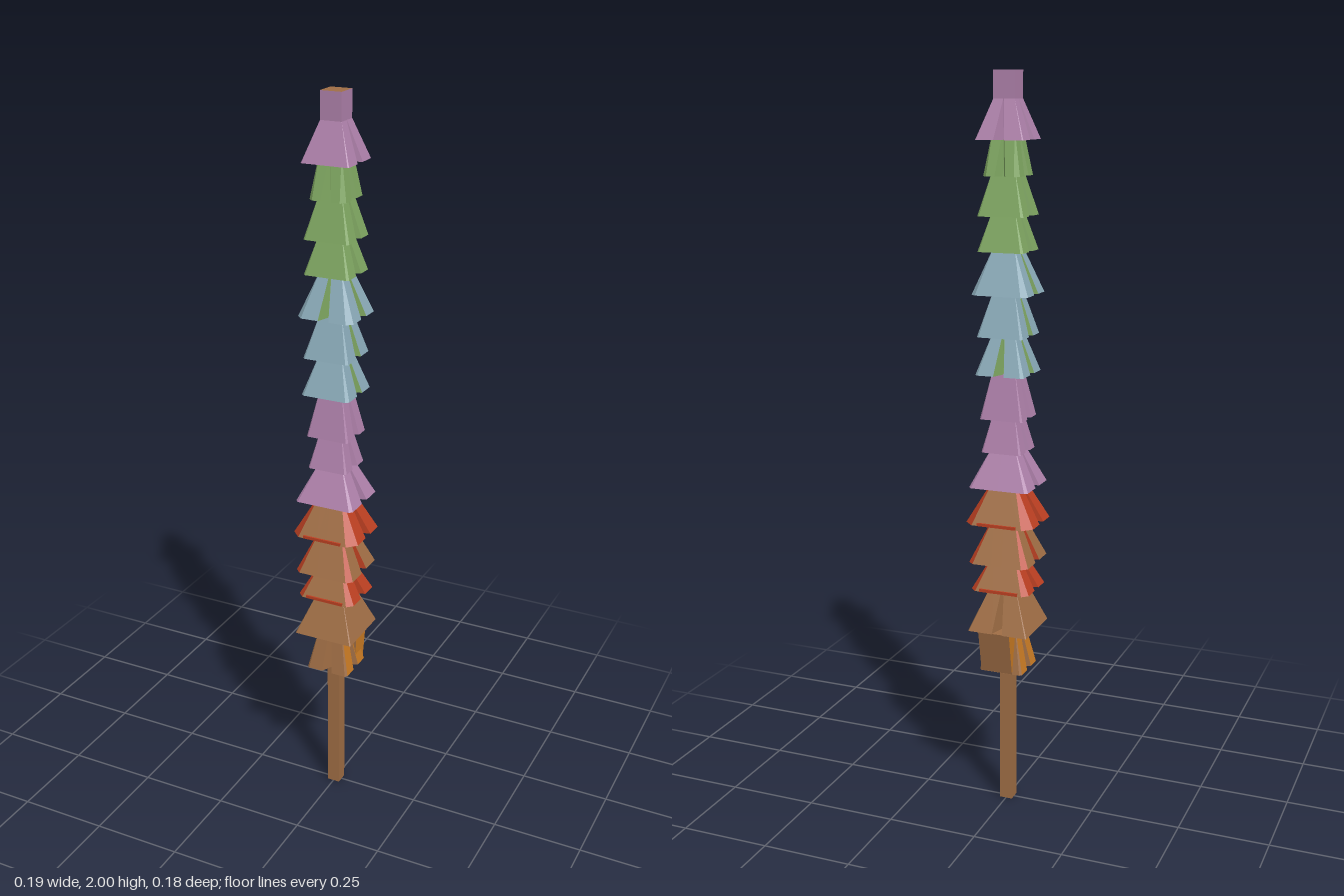
import * as THREE from 'three';

const mat = (name, color) => {
  const m = new THREE.MeshStandardMaterial({ color });
  m.name = name;
  return m;
};

export function createModel() {
  const brown = mat('wood brown', 0xa06e45);
  const purple = mat('purple', 0xb082ac);
  const green = mat('green', 0x80a862);
  const blue = mat('blue', 0x8aaab8);
  const red = mat('red', 0xbd4022);
  const orange = mat('orange', 0xca7b24);
  const model = new THREE.Group();
  model.name = 'tieredPole';

  const box = (name, [w, h, d], [x, y, z], material) => {
    const mesh = new THREE.Mesh(new THREE.BoxGeometry(w, h, d), material);
    mesh.position.set(x, y, z);
    mesh.name = name;
    model.add(mesh);
    return mesh;
  };

  const T = 0.029; // half width at the top of a tier

  // Square core pole and the purple collar with its brown end grain
  box('pole', [0.036, 1.9, 0.036], [0, 0.95, 0], brown);
  box('topCollar', [2 * T, 0.09, 2 * T], [0, 1.955, 0], [purple, purple, brown, purple, purple, purple]);

  // One flared skirt: four flaps, each optionally split by a wedge-shaped slit.
  // notches holds the sides that are split: f, r, b, l.
  // mats: front and back, sides, slits, corners, underside
  function tier(name, top, bottom, w, d, notches, mats, cut) {
    const lower = [], upper = [], slot = [];
    'frbl'.split('').forEach((side, k) => {
      const face = k % 2 === 0;
      const out = face ? d : w;
      const half = (face ? w : d) - cut;
      const split = notches.includes(side);
      const angle = k * Math.PI / 2, c = Math.cos(angle), s = Math.sin(angle);
      const put = (list, u, y, v) => list.push([u * c + v * s, y, -u * s + v * c]);
      const g = 0.015;
      [[-half, out, -T], [-g, out, -0.002], [0, split ? T : out, 0], [g, out, 0.002], [half, out, T]]
        .forEach(([u, v, tu], i) => {
          put(lower, u, bottom, v);
          put(upper, tu, top, T);
          // material slot of the panel that follows this point
          const inner = split && (i === 1 || i === 2);
          slot.push(inner ? 2 : i === 4 ? 3 : face ? 0 : 1);
        });
    });
    const n = lower.length, tris = [[], [], [], [], []];
    for (let i = 0; i < n; i++) {
      const j = (i + 1) % n;
      tris[slot[i]].push(upper[i], lower[i], lower[j], upper[i], lower[j], upper[j]);
      tris[4].push(lower[j], lower[i], [0, bottom + 0.02, 0]);
    }
    const geo = new THREE.BufferGeometry();
    let start = 0;
    tris.forEach((list, m) => {
      geo.addGroup(start, list.length, m);
      start += list.length;
    });
    geo.setAttribute('position', new THREE.Float32BufferAttribute(tris.flat(2), 3));
    geo.computeVertexNormals();
    const mesh = new THREE.Mesh(geo, mats);
    mesh.name = name;
    model.add(mesh);
  }

  const P = [purple, purple, purple, purple, purple];
  const G = [green, green, green, green, green];
  const B = [blue, blue, green, blue, green];
  const R = [brown, red, red, red, red];

  // Skirts from top to bottom: top, bottom, half width, half depth, split sides, colours, corner cut
  const rows = [
    ['topSkirt', 1.93, 1.83, 0.065, 0.065, 'rlb', P, 0.003],
    ['greenSkirt1', 1.86, 1.74, 0.05, 0.058, 'frbl', G, 0.012],
    ['greenSkirt2', 1.76, 1.64, 0.063, 0.061, 'rl', [green, green, green, green, red], 0.006],
    ['greenSkirt3', 1.66, 1.55, 0.063, 0.061, 'rl', G, 0.006],
    ['blueSkirt1', 1.56, 1.44, 0.078, 0.075, 'frl', B, 0.015],
    ['blueSkirt2', 1.45, 1.33, 0.064, 0.066, 'rl', B, 0.006],
    ['blueSkirt3', 1.345, 1.23, 0.068, 0.07, 'rbl', B, 0.008],
    ['purpleSkirt1', 1.25, 1.11, 0.06, 0.056, 'rl', P, 0.005],
    ['purpleSkirt2', 1.13, 1.02, 0.056, 0.056, 'rl', P, 0.005],
    ['purpleSkirt3', 1.04, 0.925, 0.084, 0.079, 'rl', P, 0.008],
    ['redSkirt1', 0.945, 0.825, 0.096, 0.088, 'rl', R, 0.025],
    ['redSkirt2', 0.84, 0.715, 0.085, 0.086, 'rl', [brown, brown, red, red, red], 0.015],
    ['redSkirt3', 0.735, 0.635, 0.083, 0.076, 'rl', R, 0.016],
    ['brownSkirt', 0.66, 0.52, 0.085, 0.085, 'b', [brown, brown, brown, brown, orange], 0.003],
    ['lowestSkirt', 0.55, 0.40, 0.062, 0.06, 'frl', [brown, orange, brown, brown, orange], 0.006],
  ];
  rows.forEach((row) => tier(...row));

  // Thin red hems along the front and back of the red skirts
  for (const [y, d] of [[0.829, 0.087], [0.639, 0.075]]) {
    for (const side of [1, -1]) box('redHem', [0.11, 0.008, 0.005], [0, y, side * d], red);
  }

  // Boxy flap at the back left of the lowest skirt, leaning in toward its foot
  const flap = box('backFlap', [0.09, 0.12, 0.07], [0.01, 0.461, -0.049],
    [orange, orange, brown, orange, brown, brown]);
  const pos = flap.geometry.attributes.position;
  for (let i = 0; i < pos.count; i++) {
    if (pos.getZ(i) < 0) pos.setZ(i, pos.getY(i) > 0 ? -0.035 : -0.012);
  }
  flap.geometry.computeVertexNormals();

  return model;
}
